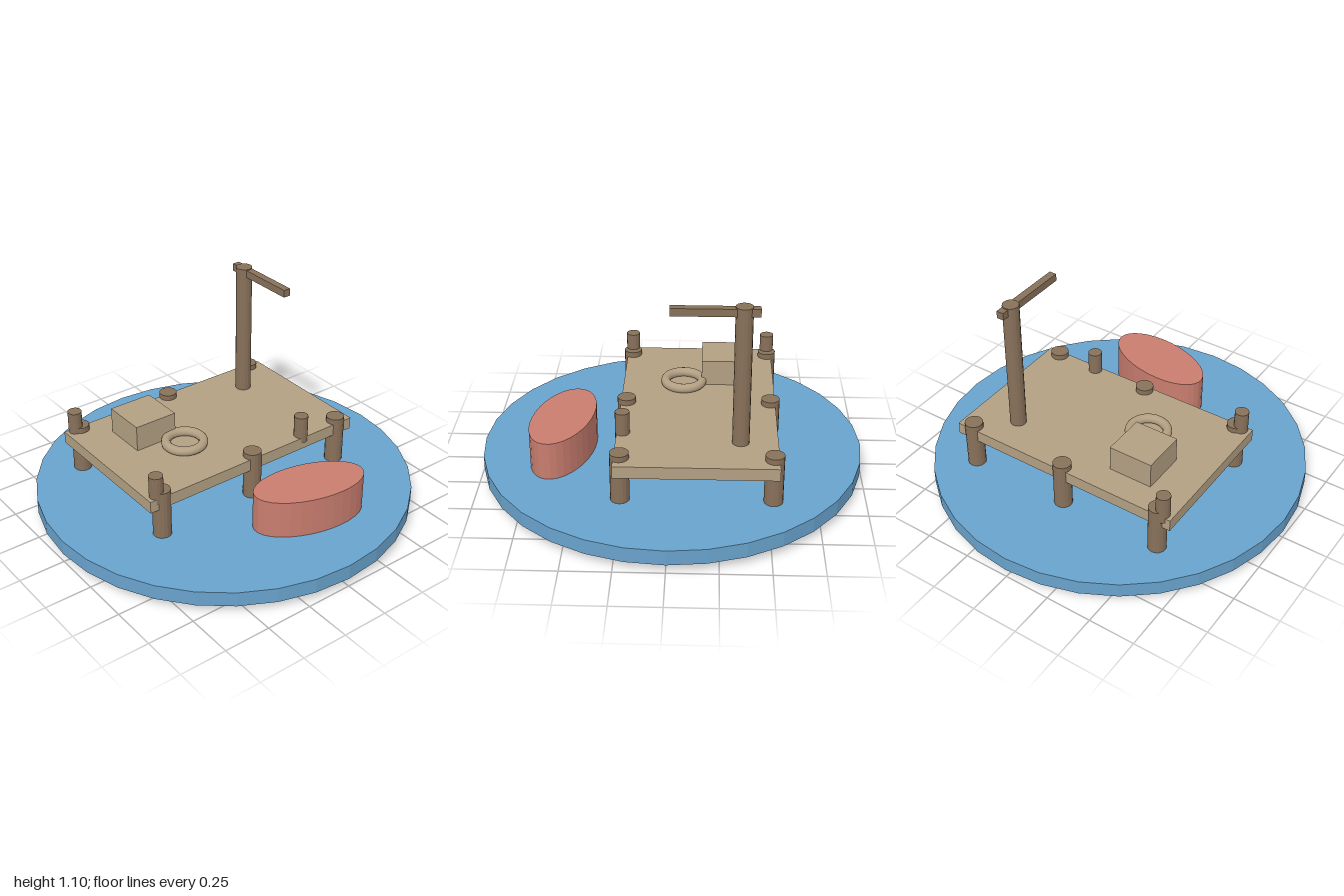
import * as THREE from 'three';

const water = new THREE.MeshStandardMaterial({ name: 'waterBlue', color: 0x69a3cd, flatShading: true });
const plank = new THREE.MeshStandardMaterial({ name: 'paleWood', color: 0xb3a083 });
const timber = new THREE.MeshStandardMaterial({ name: 'darkWood', color: 0x88715a, flatShading: true });
const red = new THREE.MeshStandardMaterial({ name: 'hullRed', color: 0xc97d6f, flatShading: true });

export function createModel() {
  const model = new THREE.Group();
  model.name = 'dock';

  const add = (name, geometry, material, x, y, z) => {
    const mesh = new THREE.Mesh(geometry, material);
    mesh.name = name;
    mesh.position.set(x, y, z);
    model.add(mesh);
    return mesh;
  };
  // Upright cylinder between two heights
  const post = (name, r, y0, y1, x, z, material = timber, sides = 16) =>
    add(name, new THREE.CylinderGeometry(r, r, y1 - y0, sides), material, x, (y0 + y1) / 2, z);
  const box = (name, w, h, d, material, x, y, z) =>
    add(name, new THREE.BoxGeometry(w, h, d), material, x, y, z);

  // Round water base
  post('water', 1, 0.045, 0.125, 0, 0, water, 32);

  // Dock deck on six piles
  box('deck', 0.81, 0.065, 1.305, plank, -0.135, 0.3275, -0.0025);
  for (const x of [-0.515, 0.24]) {
    for (const z of [-0.57, -0.002, 0.566]) post('pile', 0.048, 0.015, 0.39, x, z);
  }

  // Mooring bollards
  for (const [x, z] of [[-0.515, 0.595], [0.24, 0.595], [0.24, -0.327]]) {
    post('bollard', 0.037, 0.33, 0.48, x, z);
  }

  // Hoist with its arm
  post('hoistMast', 0.043, 0.35, 1.095, -0.352, -0.405);
  box('hoistArm', 0.43, 0.04, 0.04, timber, -0.215, 1.07, -0.41);

  // Crate and coiled rope
  box('crate', 0.24, 0.14, 0.24, plank, -0.272, 0.43, 0.324);
  const rope = add('ropeCoil', new THREE.TorusGeometry(0.098, 0.025, 12, 40), plank, -0.055, 0.38, 0.214);
  rope.rotation.x = Math.PI / 2;

  // Oval boat hull moored beside the dock
  const hull = post('boatHull', 1, 0, 0.33, 0.565, -0.108, red, 32);
  hull.scale.set(0.154, 1, 0.304);
  hull.rotation.y = -0.225;

  return model;
}
